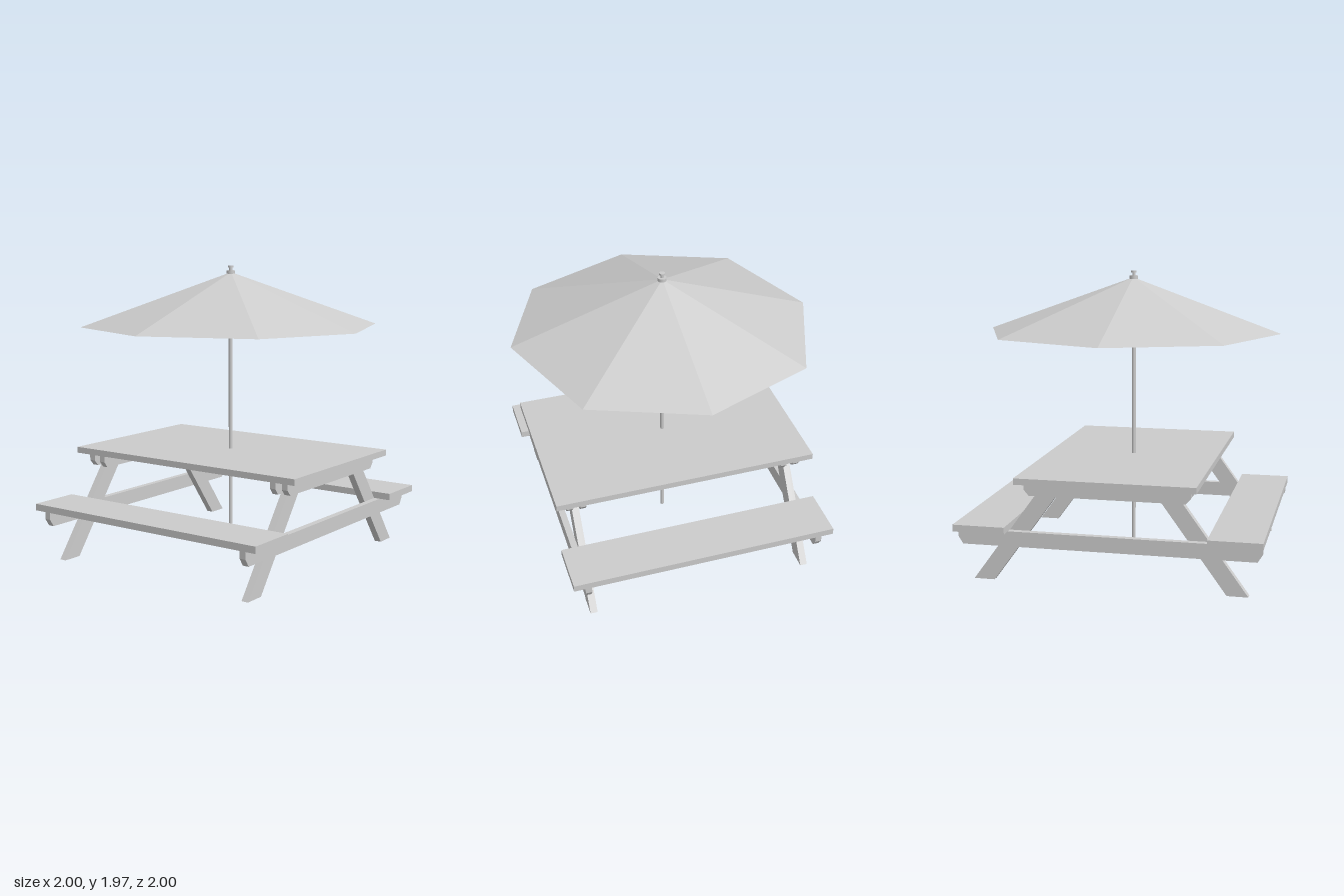
import * as THREE from 'three';

const grey = new THREE.MeshStandardMaterial({ color: 0xcccccc, flatShading: true });
const smooth = new THREE.MeshStandardMaterial({ color: 0xcccccc });
const cloth = new THREE.MeshStandardMaterial({ color: 0xcccccc, flatShading: true, side: THREE.DoubleSide });

export function createModel() {
  const model = new THREE.Group();
  model.name = 'picnicTable';
  const add = (name, geometry, material = grey) => {
    const mesh = new THREE.Mesh(geometry, material);
    mesh.name = name;
    model.add(mesh);
    return mesh;
  };

  // Flat board between two heights
  const board = (name, x, width, y0, y1) =>
    add(name, new THREE.BoxGeometry(width, y1 - y0, 1.79)).position.set(x, (y0 + y1) / 2, 0);

  // Outline in x and y, extruded between two z values
  const plank = (name, points, z0, z1) => {
    const shape = new THREE.Shape(points.map(([x, y]) => new THREE.Vector2(x, y)));
    const near = Math.min(z0, z1);
    const geometry = new THREE.ExtrudeGeometry(shape, { depth: Math.abs(z1 - z0), bevelEnabled: false });
    add(name, geometry.translate(0, 0, near));
  };

  // Cross beam outline with chamfered lower ends
  const beam = (half, y0, y1, cutX, cutY) => [
    [-half, y1], [-half, y0 + cutY], [-half + cutX, y0],
    [half - cutX, y0], [half, y0 + cutY], [half, y1],
  ];

  // Table top and benches
  board('tableTop', 0, 1.165, 0.675, 0.716);
  board('leftBench', 0.822, 0.345, 0.346, 0.391);
  board('rightBench', -0.822, 0.345, 0.346, 0.391);

  // Two trestles, front and back
  for (const [end, s] of [['front', 1], ['back', -1]]) {
    plank(end + 'OuterTopBeam', beam(0.537, 0.588, 0.675, 0.032, 0.037), s * 0.775, s * 0.818);
    plank(end + 'InnerTopBeam', beam(0.537, 0.583, 0.675, 0.032, 0.04), s * 0.687, s * 0.727);
    plank(end + 'BenchBeam', beam(0.985, 0.246, 0.346, 0.032, 0.05), s * 0.775, s * 0.818);
    for (const [side, m] of [['Left', 1], ['Right', -1]]) {
      const leg = [[0.897, 0.003], [0.434, 0.641], [0.297, 0.641], [0.76, 0.003]];
      plank(end + side + 'Leg', leg.map(([x, y]) => [x * m, y]), s * 0.727, s * 0.775);
    }
  }

  // Pole, with a collar below the canopy
  add('pole', new THREE.CylinderGeometry(0.0135, 0.0135, 1.92, 16), smooth).position.y = 0.97;
  add('collar', new THREE.CylinderGeometry(0.025, 0.025, 0.06, 16), smooth).position.y = 1.875;

  // Eight-sided canopy, its diagonal corners pulled out and the front one off centre
  const canopy = new THREE.ConeGeometry(1, 0.36, 8, 1, true);
  const pos = canopy.attributes.position;
  for (let i = 0; i < pos.count; i++) {
    const x = pos.getX(i), z = pos.getZ(i);
    if (Math.abs(x * z) > 0.1) pos.setXYZ(i, x * 1.016, pos.getY(i), z * 1.016);
    else if (z > 0.9) pos.setX(i, -0.055);
  }
  canopy.computeVertexNormals();
  add('canopy', canopy, cloth).position.y = 1.745;

  // Finial: base disc, neck and cap
  for (const [name, r, y0, y1] of [
    ['finialBase', 0.029, 1.915, 1.937],
    ['finialNeck', 0.011, 1.93, 1.962],
    ['finialCap', 0.019, 1.957, 1.97],
  ]) add(name, new THREE.CylinderGeometry(r, r, y1 - y0, 16), smooth).position.y = (y0 + y1) / 2;

  // All but the canopy sits a hair off centre
  for (const part of model.children) if (part.name !== 'canopy') part.position.x -= 0.004;
  return model;
}
